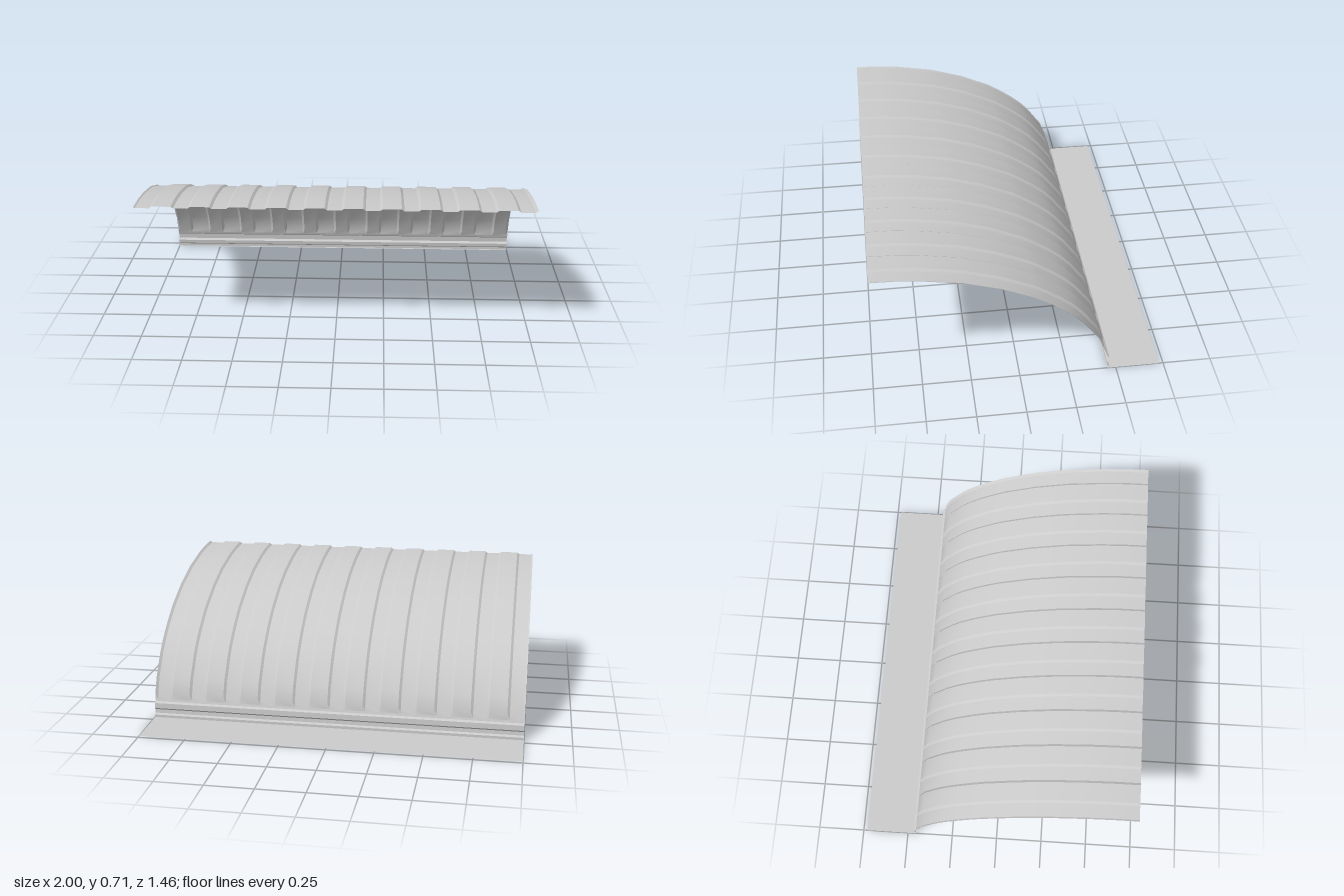
import * as THREE from 'three';
import { toCreasedNormals } from 'three/addons/utils/BufferGeometryUtils.js';

const material = new THREE.MeshStandardMaterial({ color: 0xcccccc, side: THREE.DoubleSide });

// Sweep a [z, y] profile across columns of { x, h }; h lifts a column along the profile normal.
function sheet(name, profile, columns, lift = () => 0) {
  const positions = [];
  const index = [];
  const n = columns.length;
  profile.forEach(([z, y], r) => {
    const a = profile[Math.max(r - 1, 0)];
    const b = profile[Math.min(r + 1, profile.length - 1)];
    const dz = b[0] - a[0], dy = b[1] - a[1], len = Math.hypot(dz, dy);
    columns.forEach(({ x, h }, c) => {
      const d = h * lift(r);
      positions.push(x, y - (dz / len) * d, z + (dy / len) * d);
      if (r < profile.length - 1 && c < n - 1) {
        const i = r * n + c;
        index.push(i, i + 1, i + n, i + 1, i + n + 1, i + n);
      }
    });
  });
  const geometry = new THREE.BufferGeometry();
  geometry.setAttribute('position', new THREE.Float32BufferAttribute(positions, 3));
  geometry.setIndex(index);
  const mesh = new THREE.Mesh(toCreasedNormals(geometry, 0.4), material);
  mesh.name = name;
  return mesh;
}

export function createModel() {
  const group = new THREE.Group();
  group.name = 'curvedRoofPanel';

  // Ten full trapezoid ribs, with the start of another on each side edge
  const columns = [{ x: -1, h: 0.5 }, { x: -0.992, h: 0 }];
  for (let i = 0; i < 10; i++) {
    const x = -0.861 + i * 0.1907;
    columns.push({ x: x - 0.06, h: 0 }, { x: x - 0.047, h: 1 },
      { x: x + 0.047, h: 1 }, { x: x + 0.06, h: 0 });
  }
  columns.push({ x: 0.986, h: 0 }, { x: 1, h: 1 });

  // Arched sheet; the ribs slope down to nothing at its lower edge
  const arch = [
    [0.73, 0.7], [0.6, 0.697], [0.48, 0.685], [0.28, 0.65], [0.2, 0.625], [0.1, 0.594],
    [-0.07, 0.517], [-0.14, 0.473], [-0.21, 0.423], [-0.27, 0.373], [-0.32, 0.32],
    [-0.402, 0.207], [-0.434, 0.127], [-0.445, 0.1],
  ];
  group.add(sheet('ribbedArch', arch, columns, r => (r < arch.length - 1 ? 0.009 : 0)));

  // Straight edge strip with shallow folds
  const ends = [{ x: -1, h: 0 }, { x: 1, h: 0 }];
  group.add(sheet('foldedEdge', [
    [-0.445, 0.1], [-0.449, 0.088], [-0.461, 0.08], [-0.463, 0.052],
    [-0.453, 0.042], [-0.455, 0.022], [-0.465, 0.014], [-0.465, 0],
  ], ends));

  // Flat flange lying on the ground behind the strip
  group.add(sheet('baseFlange', [[-0.455, 0], [-0.73, 0]], ends));

  return group;
}
